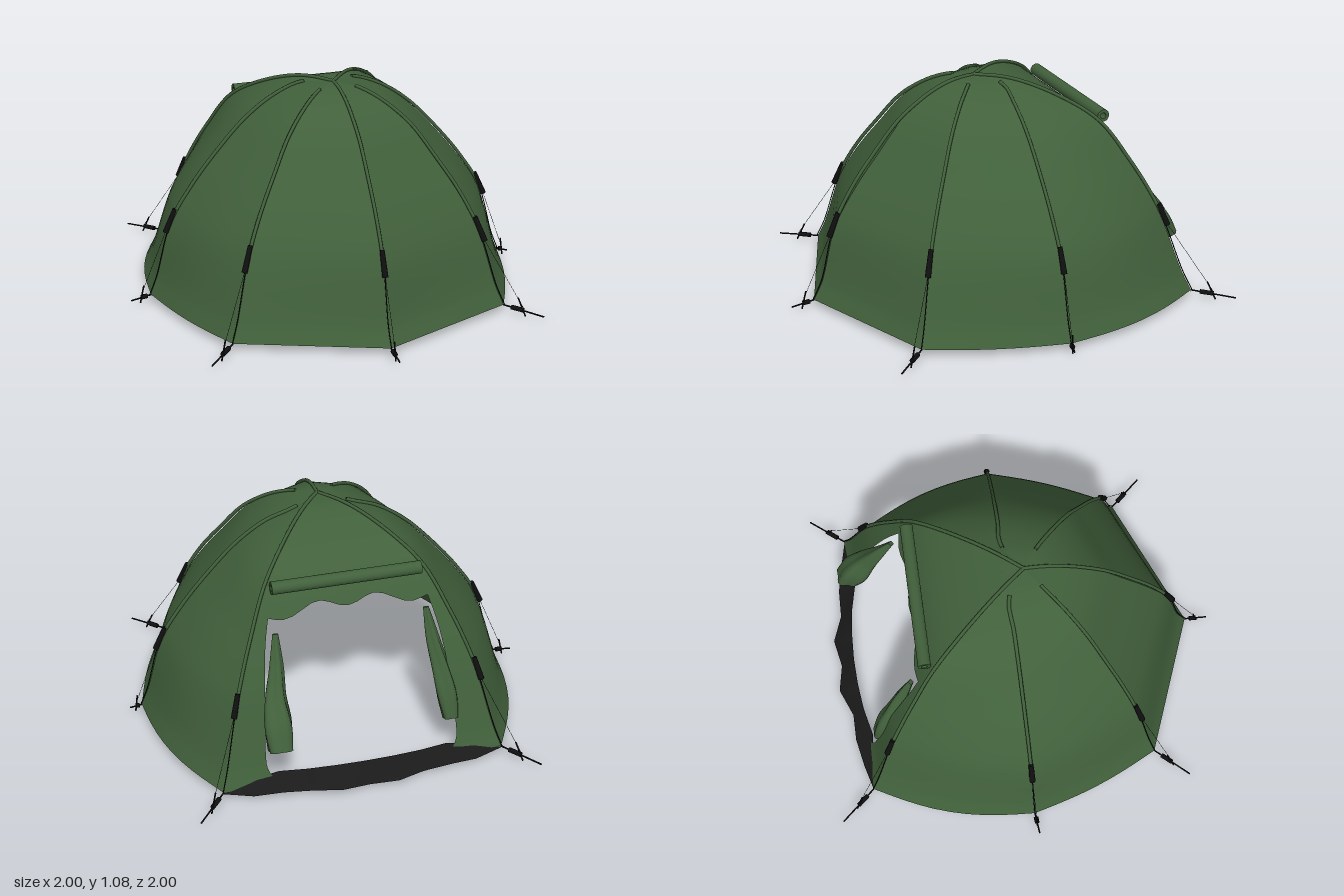
import * as THREE from 'three';

const CX = 0.022; // mirror plane of the tent
const fabric = new THREE.MeshStandardMaterial({ name: 'greenFabric', color: 0x41603b, side: THREE.DoubleSide });
const sheet = new THREE.MeshStandardMaterial({ name: 'darkSheet', color: 0x1a1a1b, side: THREE.DoubleSide });
const black = new THREE.MeshStandardMaterial({ name: 'blackWebbing', color: 0x0f0f10, side: THREE.DoubleSide });

// seam profiles from hem to apex: [fraction of corner distance, height]
const frontProfile = [[1, 0.035], [0.945, 0.13], [0.86, 0.40], [0.735, 0.58], [0.59, 0.74], [0.435, 0.90], [0.29, 0.995], [0.14, 1.05], [0, 1.068]];
const diagonalProfile = [[1, 0.035], [0.95, 0.13], [0.845, 0.40], [0.725, 0.58], [0.585, 0.74], [0.435, 0.90], [0.29, 0.995], [0.14, 1.05], [0, 1.068]];
const sideProfile = [[1, 0.035], [0.96, 0.13], [0.875, 0.40], [0.755, 0.575], [0.61, 0.74], [0.445, 0.90], [0.30, 0.995], [0.14, 1.05], [0, 1.068]];
const backProfile = [[1, 0.035], [0.955, 0.13], [0.85, 0.42], [0.78, 0.56], [0.70, 0.69], [0.56, 0.88], [0.38, 0.99], [0.17, 1.06], [0, 1.068]];
const LEVELS = 8;

// corners: hem point, seam origin z, profile, outer peg point, sleeve end, how far the pole stands off
const half = [
  { x: 0.682, z: -0.83, az: 0.03, profile: backProfile, peg: [0.825, -1.0], end: 8, stand: 0 },
  { x: 0.92, z: -0.04, az: -0.06, profile: sideProfile, peg: [0.978, -0.03], end: 7.1, stand: 0.003 },
  { x: 0.682, z: 0.61, az: 0.02, profile: diagonalProfile, peg: [0.825, 0.77], end: 7.1, stand: 0.006 },
];
const corners = [
  ...half,
  { x: 0, z: 0.885, az: 0.03, profile: frontProfile, peg: [0, 1.0], end: 8, stand: 0.012 },
  ...half.slice().reverse().map((c) => ({ ...c, x: -c.x, peg: [-c.peg[0], c.peg[1]] })),
];
for (const c of corners) {
  c.curve = new THREE.CatmullRomCurve3(c.profile.map(([f, y]) =>
    new THREE.Vector3(CX + c.x * f, y, f === 0 ? 0.03 : c.az + (c.z - c.az) * f)));
}
const seam = (c, level) => c.curve.getPoint(Math.min(level / LEVELS, 1));

// smooth sheet from a function of two grid parameters
function grid(nu, nv, fn) {
  const pos = [], index = [];
  for (let i = 0; i <= nu; i++) {
    for (let j = 0; j <= nv; j++) {
      const p = fn(i / nu, j / nv);
      pos.push(p.x, p.y, p.z);
      if (i < nu && j < nv) {
        const a = i * (nv + 1) + j, b = a + nv + 1;
        index.push(a, a + 1, b, b, a + 1, b + 1);
      }
    }
  }
  const g = new THREE.BufferGeometry();
  g.setAttribute('position', new THREE.Float32BufferAttribute(pos, 3));
  g.setIndex(index);
  g.computeVertexNormals();
  return g;
}

function add(parent, name, geometry, material) {
  const m = new THREE.Mesh(geometry, material);
  m.name = name;
  parent.add(m);
  return m;
}

// straight round bar between two points
function rod(parent, name, a, b, r, material, r2 = r) {
  const d = b.clone().sub(a);
  const m = add(parent, name, new THREE.CylinderGeometry(r2, r, d.length(), 8), material);
  m.position.copy(a).addScaledVector(d, 0.5);
  m.quaternion.setFromUnitVectors(new THREE.Vector3(0, 1, 0), d.normalize());
}

// point on the panel between two seams, bowed outwards near the hem
function panelPoint(a, b, level, t, bulge) {
  const p = seam(a, level).lerp(seam(b, level), t);
  const out = new THREE.Vector3(p.x - CX, 0, p.z).normalize();
  return p.addScaledVector(out, bulge * Math.sin(Math.PI * t) * (1 - level / LEVELS));
}

export function createModel() {
  const tent = new THREE.Group();
  tent.name = 'domeTent';

  // wall panels
  const bulges = [0.06, 0.025, 0, 0, 0.025, 0.06];
  bulges.forEach((bulge, i) => add(tent, 'wallPanel',
    grid(32, 10, (u, t) => panelPoint(corners[i], corners[i + 1], u * LEVELS, t, bulge)), fabric));

  // doorway wall: header with a ragged lower edge, and a strip at each side
  const backL = corners[0], backR = corners[6];
  add(tent, 'doorHeader', grid(14, 20, (u, t) => {
    const low = 4.3 + 0.2 * Math.sin(Math.PI * t) + 0.1 * Math.cos(t * 19);
    return panelPoint(backL, backR, low + u * (LEVELS - low), t, 0);
  }), fabric);
  for (const [a, b] of [[backL, backR], [backR, backL]]) {
    add(tent, 'doorSide', grid(24, 5, (u, t) => {
      const level = u * 4.8;
      const width = 0.155 - 0.02 * level + 0.05 * Math.exp(-level * 2);
      return panelPoint(a, b, level, t * width, 0);
    }), fabric);
  }

  // rolled door tied above the opening
  const ring = new THREE.Shape().absarc(0, 0, 0.031, 0, Math.PI * 2, false);
  ring.holes.push(new THREE.Path().absarc(0, 0, 0.015, 0, Math.PI * 2, true));
  const roll = add(tent, 'rolledDoor',
    new THREE.ExtrudeGeometry(ring, { depth: 0.72, bevelEnabled: false, curveSegments: 16 }), fabric);
  roll.rotation.y = Math.PI / 2;
  roll.position.set(CX - 0.36, 0.895, -0.49);

  // gathered door flaps with dark hems: [x, y, z, radius] sections
  const flaps = [
    [[0.385, 0.70, -0.575, 0.012], [0.40, 0.56, -0.65, 0.032], [0.42, 0.44, -0.71, 0.05], [0.425, 0.33, -0.775, 0.068], [0.43, 0.225, -0.83, 0.058]],
    [[-0.345, 0.72, -0.565, 0.012], [-0.365, 0.58, -0.62, 0.03], [-0.39, 0.45, -0.67, 0.042], [-0.41, 0.32, -0.72, 0.05], [-0.42, 0.20, -0.76, 0.035]],
  ];
  for (const sections of flaps) {
    const path = new THREE.CatmullRomCurve3(sections.map((s) => new THREE.Vector3(s[0], s[1], s[2])));
    const radius = new THREE.CatmullRomCurve3(sections.map((s, i) => new THREE.Vector3(s[3], i, 0)));
    const skin = (u, v, scale) => {
      const a = v * Math.PI * 2;
      const r = scale * radius.getPoint(u).x * (1 + 0.15 * Math.cos(4 * a + u * 3));
      return path.getPoint(u).add(new THREE.Vector3(Math.cos(a) * r, -Math.sin(a) * r * 0.4, Math.sin(a) * r * 0.9));
    };
    add(tent, 'gatheredFlap', grid(14, 20, (u, v) => skin(u, v, 1)), fabric);
    add(tent, 'flapHem', grid(2, 20, (u, v) => skin(1, v, u)), sheet);
  }

  // dark threshold across the doorway
  const outer = [0.83, 0.865, 0.89, 0.89, 0.945, 0.92, 0.945, 0.895, 0.89, 0.865, 0.83];
  const inner = [0.83, 0.81, 0.80, 0.83, 0.845, 0.85, 0.845, 0.83, 0.80, 0.81, 0.83];
  add(tent, 'doorThreshold', grid(10, 2, (u, v) => {
    const i = Math.round(u * 10);
    const drop = i % 2 ? 0.012 : 0.026;
    return new THREE.Vector3(CX + (u - 0.5) * 1.364,
      THREE.MathUtils.lerp(0.03 + 0.07 * Math.sin(Math.PI * u) ** 0.5, drop, v),
      -THREE.MathUtils.lerp(inner[i], outer[i], v));
  }), sheet);

  // pole sleeves, straps, guy lines and pegs on every seam
  for (const c of corners) {
    const fit = new THREE.Group();
    fit.name = 'seamFittings';
    tent.add(fit);
    const out = new THREE.Vector3(c.x, 0, c.z).normalize();
    const on = (level, lift) => seam(c, level)
      .addScaledVector(out, lift).add(new THREE.Vector3(0, lift * 0.6, 0));
    const tube = (from, to, r, lift) => {
      const pts = Array.from({ length: 17 }, (_, i) => {
        const level = from + (to - from) * i / 16;
        // poles bow away from the cloth at mid height and settle at the apex
        const bow = level > 2 && level < 5.6 ? c.stand * Math.sin(Math.PI * (level - 2) / 3.6) : 0;
        return on(level, level > 7.9 ? 0 : lift + bow);
      });
      return new THREE.TubeGeometry(new THREE.CatmullRomCurve3(pts), 32, r, 6);
    };
    add(fit, 'poleSleeve', tube(1.9, c.end, 0.009, 0.006), fabric);
    add(fit, 'cornerStrap', tube(0, 1.9, 0.0025, 0.005), black);
    rod(fit, 'poleCup', on(1.8, 0.012), on(2.34, 0.014), 0.015, black, 0.012);

    // ground strap, buckle, peg and guy line
    const base = seam(c, 0);
    const tip = new THREE.Vector3(CX + c.peg[0], 0.02, c.peg[1]);
    if (c.x < -0.9) tip.x = -1;
    const at = (f, y) => base.clone().lerp(tip, f).setY(y);
    rod(fit, 'groundStrap', base, tip, 0.004, black);
    rod(fit, 'buckle', at(0.2, 0.032), at(0.5, 0.03), 0.012, black);
    rod(fit, 'peg', at(0.55, 0), at(0.35, 0.09), 0.004, black);
    rod(fit, 'guyLine', on(1.82, 0.012), at(0.5, 0.04), 0.001, black);
  }
  return tent;
}
